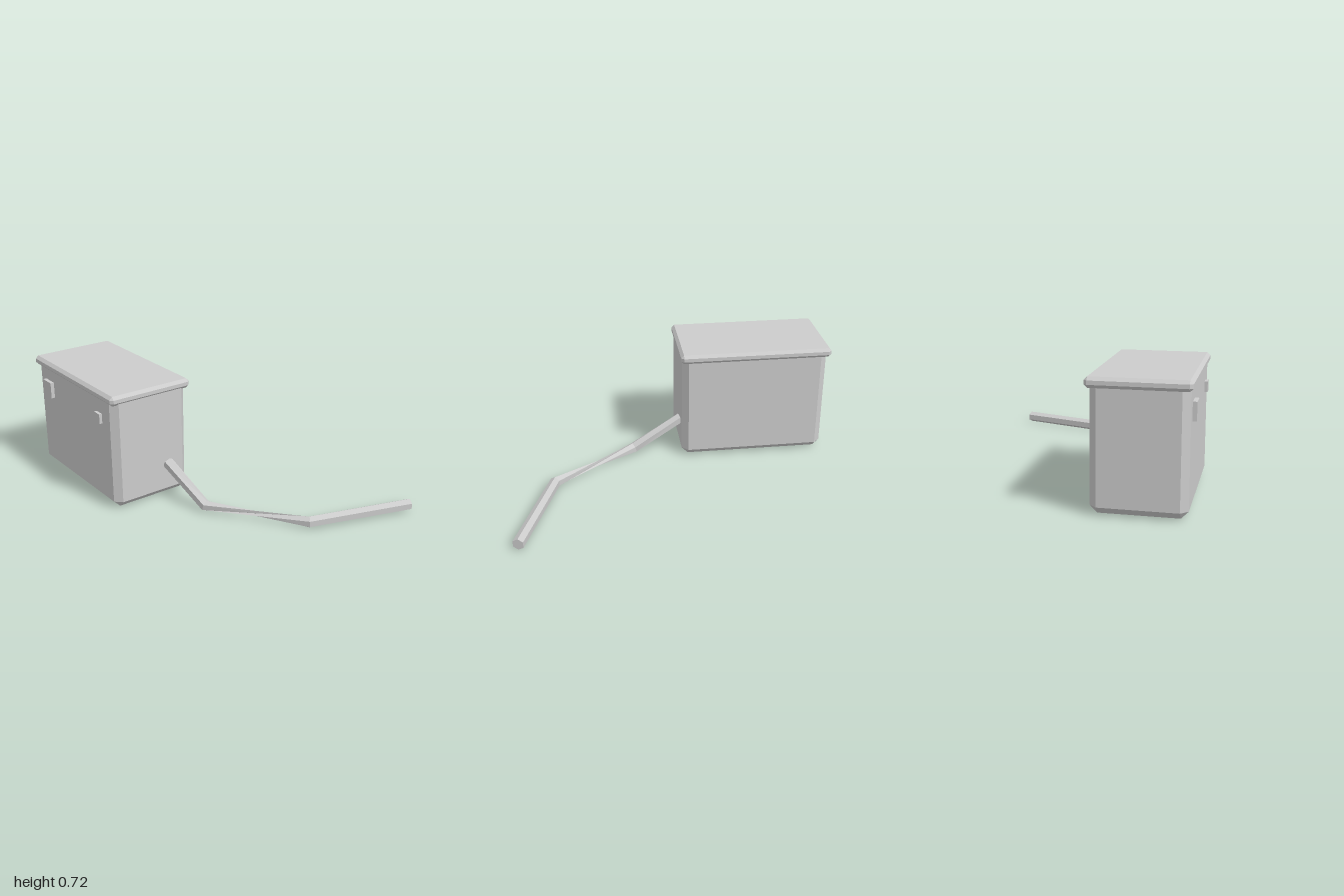
import * as THREE from 'three';
import { ConvexGeometry } from 'three/addons/geometries/ConvexGeometry.js';

const grey = new THREE.MeshStandardMaterial({ color: 0xcccccc, flatShading: true, side: THREE.DoubleSide });

function addMesh(group, name, geometry) {
  const mesh = new THREE.Mesh(geometry, grey);
  mesh.name = name;
  group.add(mesh);
  return mesh;
}

// Box between two corners with every edge cut by a chamfer c
function chamferBox(min, max, c) {
  const points = [];
  for (let corner = 0; corner < 8; corner++) {
    for (let axis = 0; axis < 3; axis++) {
      // each corner becomes three points, one on each adjoining face
      const p = [0, 1, 2].map((k) => {
        const inset = k === axis ? 0 : c;
        return (corner >> k) & 1 ? max[k] - inset : min[k] + inset;
      });
      points.push(new THREE.Vector3(...p));
    }
  }
  return new ConvexGeometry(points);
}

// Six-sided tube along a path; shifts[i] twists segment i by whole sides
function hexTube(path, radius, shifts) {
  const n = 6;
  const rings = path.map((p, i) => {
    const t = new THREE.Vector3();
    if (i > 0) t.add(p.clone().sub(path[i - 1]).normalize());
    if (i < path.length - 1) t.add(path[i + 1].clone().sub(p).normalize());
    t.normalize();
    const side = t.clone().cross(new THREE.Vector3(0, 1, 0)).normalize();
    const up = side.clone().cross(t);
    return Array.from({ length: n }, (_, j) => {
      const a = Math.PI / 6 + (j * Math.PI * 2) / n;
      return p.clone().addScaledVector(side, radius * Math.cos(a)).addScaledVector(up, radius * Math.sin(a));
    });
  });
  const tris = [];
  for (let i = 0; i < rings.length - 1; i++) {
    const a = rings[i], b = rings[i + 1], s = shifts[i];
    for (let j = 0; j < n; j++) {
      const j2 = (j + 1) % n;
      const b1 = b[(j + s) % n], b2 = b[(j + s + 1) % n];
      tris.push(a[j], b1, b2, a[j], b2, a[j2]);
    }
  }
  // end caps
  const first = rings[0], last = rings[rings.length - 1];
  for (let j = 1; j < n - 1; j++) {
    tris.push(first[0], first[j], first[j + 1], last[0], last[j + 1], last[j]);
  }
  const geometry = new THREE.BufferGeometry().setFromPoints(tris);
  geometry.computeVertexNormals();
  return geometry;
}

export function createModel() {
  const model = new THREE.Group();
  model.name = 'boxWithCable';

  // Case and overhanging lid
  addMesh(model, 'body', chamferBox([-0.98, 0.01, 0.178], [-0.06, 0.715, 0.687], 0.04));
  addMesh(model, 'lid', chamferBox([-1, 0.667, 0.158], [-0.05, 0.725, 0.701], 0.018));

  // Square buttons on the front face: x, y, size
  for (const [name, x, y, size] of [['largeButton', -0.83, 0.55, 0.1], ['smallButton', -0.217, 0.555, 0.06]]) {
    const depth = 0.05;
    const front = name === 'largeButton' ? 0.71 : 0.705;
    addMesh(model, name, new THREE.BoxGeometry(size, size, depth)).position.set(x, y, front - depth / 2);
  }

  // Bent cable leaving the left side, twisted in its middle stretch
  const path = [
    new THREE.Vector3(-0.065, 0.217, 0.322),
    new THREE.Vector3(0.25, 0.04, 0.273),
    new THREE.Vector3(0.762, 0.039, -0.085),
    new THREE.Vector3(0.965, 0.04, -0.7),
  ];
  addMesh(model, 'cable', hexTube(path, 0.035, [0, 2, 0]));
  return model;
}
